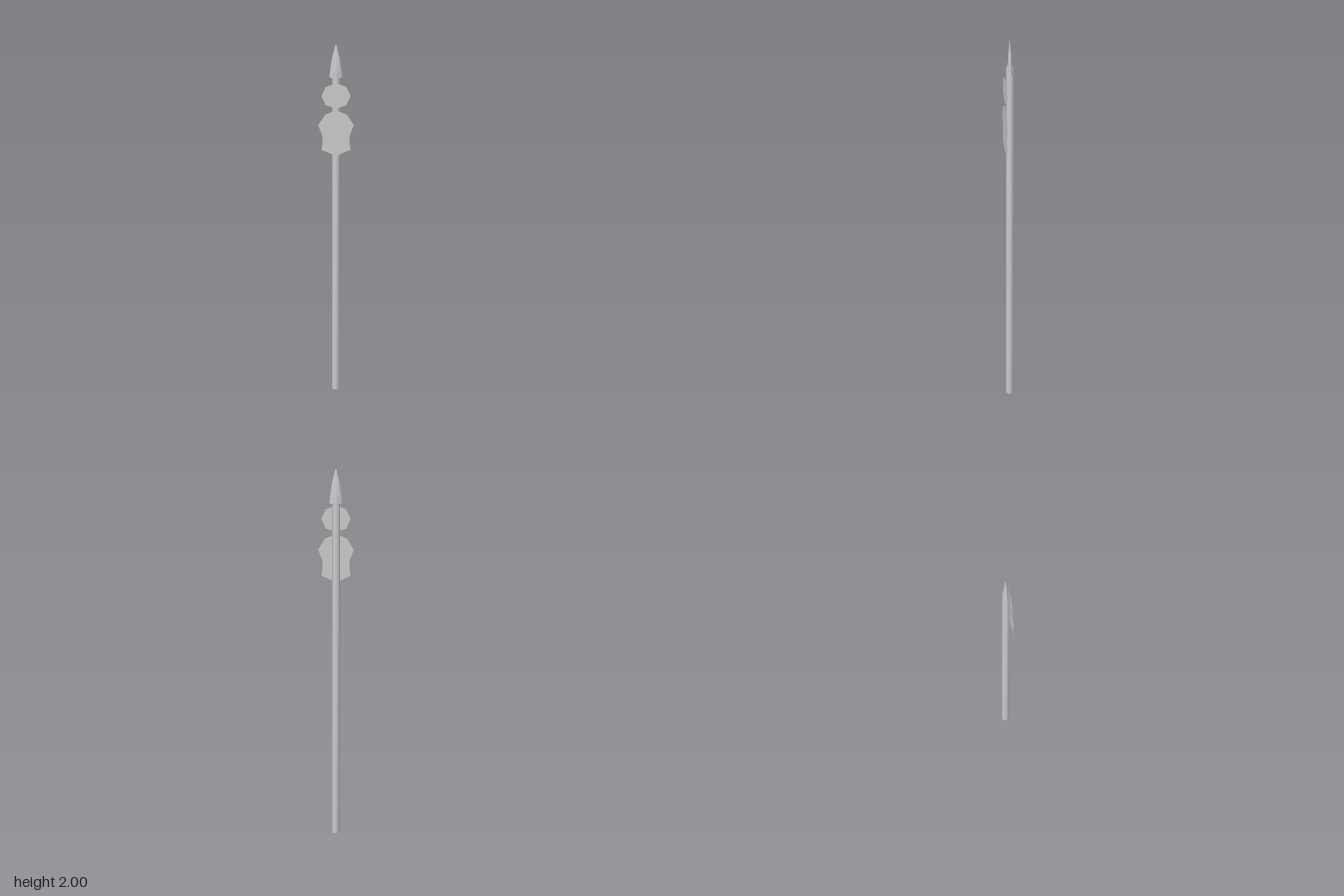
import * as THREE from 'three';
import { mergeVertices } from 'three/addons/utils/BufferGeometryUtils.js';

const AXIS_Z = -0.0025; // pole axis sits just behind the flat plates
const PLATE_Z = 0.0215;

function material(options = {}) {
  return new THREE.MeshStandardMaterial({ color: 0xcccccc, ...options });
}

function addMesh(group, name, geometry, mat, z) {
  const mesh = new THREE.Mesh(geometry, mat);
  mesh.name = name;
  mesh.position.z = z;
  group.add(mesh);
  return mesh;
}

// Flat plate mirrored in x: half outline runs from top centre to bottom centre
function plate(half) {
  const left = half.slice(1, -1).reverse().map(([x, y]) => [-x, y]);
  const points = [...half, ...left].map(([x, y]) => new THREE.Vector2(x, y));
  return new THREE.ShapeGeometry(new THREE.Shape(points));
}

export function createModel() {
  const group = new THREE.Group();
  group.name = 'spear';

  // Eight-sided pole, with normals blended across the end caps
  const pole = new THREE.CylinderGeometry(0.0195, 0.0195, 1.853, 8);
  pole.translate(0, 1.853 / 2, 0);
  pole.deleteAttribute('normal');
  pole.deleteAttribute('uv');
  const smoothPole = mergeVertices(pole);
  smoothPole.computeVertexNormals();
  addMesh(group, 'pole', smoothPole, material(), AXIS_Z);

  // Flattened eight-sided point, closed underneath
  const profile = [[0, 1.81], [0.033, 1.81], [0.029, 1.85], [0.02, 1.92], [0.004, 1.993], [0, 2]];
  const head = new THREE.LatheGeometry(profile.map(([r, y]) => new THREE.Vector2(r, y)), 8);
  head.scale(1, 1, 0.4);
  addMesh(group, 'spearhead', head, material({ flatShading: true }), AXIS_Z);

  // Thin decorative plates on the front of the pole
  const thin = material({ side: THREE.DoubleSide, flatShading: true });
  const upper = [[0, 1.788], [0.052, 1.766], [0.074, 1.713], [0.052, 1.66], [0, 1.64]];
  const lower = [[0, 1.63], [0.055, 1.605], [0.09, 1.543], [0.069, 1.482], [0.067, 1.44],
    [0.074, 1.4], [0, 1.363]];
  addMesh(group, 'upperPlate', plate(upper), thin, PLATE_Z);
  addMesh(group, 'lowerPlate', plate(lower), thin, PLATE_Z);

  return group;
}
